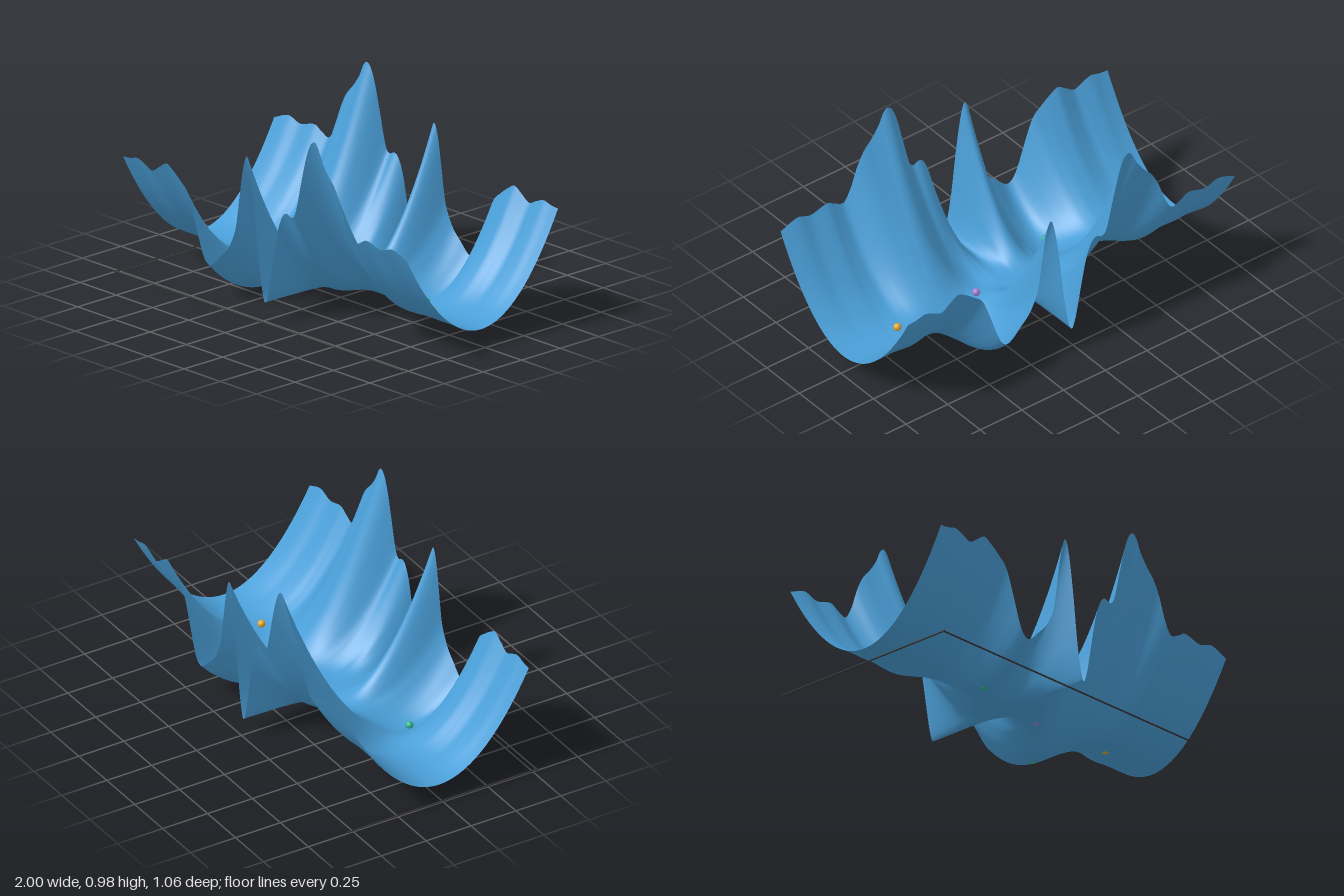
import * as THREE from 'three';

const DEPTH = 0.49, LENGTH = 0.98, BASE = 0.09;

// Height of the front edge at stations along x
const EDGE = [
  [-0.98, 0.575], [-0.93, 0.58], [-0.88, 0.592], [-0.83, 0.575], [-0.78, 0.555], [-0.73, 0.585],
  [-0.68, 0.615], [-0.64, 0.595], [-0.58, 0.55], [-0.53, 0.5], [-0.48, 0.37], [-0.45, 0.28],
  [-0.42, 0.21], [-0.385, 0.182], [-0.35, 0.2], [-0.31, 0.24], [-0.26, 0.29], [-0.23, 0.34],
  [-0.2, 0.42], [-0.175, 0.58], [-0.15, 0.73], [-0.123, 0.79], [-0.1, 0.72], [-0.07, 0.52],
  [-0.045, 0.3], [-0.02, 0.15], [0, 0.09], [0.02, 0.13], [0.04, 0.225], [0.065, 0.36],
  [0.09, 0.475], [0.12, 0.55], [0.15, 0.572], [0.185, 0.56], [0.21, 0.59], [0.25, 0.75],
  [0.28, 0.87], [0.31, 0.95], [0.34, 0.977], [0.365, 0.955], [0.39, 0.9], [0.435, 0.835],
  [0.48, 0.785], [0.52, 0.71], [0.56, 0.6], [0.6, 0.535], [0.65, 0.55], [0.7, 0.575],
  [0.8, 0.553], [0.88, 0.575], [0.98, 0.54],
];

// Smooth cubic interpolation of the edge heights
function edgeHeight(x) {
  const n = EDGE.length;
  let i = 0;
  while (i < n - 2 && x > EDGE[i + 1][0]) i++;
  const slope = (k) => {
    const a = EDGE[Math.max(k - 1, 0)], b = EDGE[Math.min(k + 1, n - 1)];
    return (b[1] - a[1]) / (b[0] - a[0]);
  };
  const [x0, y0] = EDGE[i], [x1, y1] = EDGE[i + 1];
  const h = x1 - x0, t = (x - x0) / h, t2 = t * t, t3 = t2 * t;
  return (2 * t3 - 3 * t2 + 1) * y0 + (t3 - 2 * t2 + t) * h * slope(i)
    + (3 * t2 - 2 * t3) * y1 + (t3 - t2) * h * slope(i + 1);
}

// Each cross-section is a parabola through both edges and the level centre line;
// the back edge is the front edge turned half way round.
function surfaceHeight(x, z) {
  const front = edgeHeight(x) - BASE, back = edgeHeight(-x) - BASE;
  const u = z / DEPTH;
  return BASE + (front + back) / 2 * u * u + (front - back) / 2 * u;
}

function addMesh(group, name, geometry, color, x = 0, y = 0, z = 0) {
  const material = new THREE.MeshStandardMaterial({ color });
  const mesh = new THREE.Mesh(geometry, material);
  mesh.name = name;
  mesh.position.set(x, y, z);
  group.add(mesh);
  return mesh;
}

export function createModel() {
  const model = new THREE.Group();
  model.name = 'surfacePlot';

  // Curved sheet
  const sheet = new THREE.PlaneGeometry(2 * LENGTH, 2 * DEPTH, 240, 60);
  sheet.rotateX(-Math.PI / 2);
  const p = sheet.attributes.position;
  for (let i = 0; i < p.count; i++) p.setY(i, surfaceHeight(p.getX(i), p.getZ(i)));
  sheet.computeVertexNormals();
  addMesh(model, 'curvedSheet', sheet, 0x4a9fd8).material.side = THREE.DoubleSide;

  // Marker balls resting on the sheet
  const ball = new THREE.SphereGeometry(0.019, 24, 16);
  const markers = [
    ['rightValleyMarker', 0x2fb58c, -0.378, 0.2],
    ['leftValleyMarker', 0x2fb58c, 0.378, -0.2],
    ['saddleMarker', 0xa07fd0, 0.19, 0],
    ['sideMarker', 0xe0a42c, 0.65, 0.016],
  ];
  for (const [name, color, x, z] of markers) {
    addMesh(model, name, ball, color, x, surfaceHeight(x, z) + 0.013, z);
  }

  // Two axis rods on the ground
  const rod = (length) => new THREE.CylinderGeometry(0.004, 0.004, length, 12);
  addMesh(model, 'lengthAxis', rod(2), 0x333333, 0, 0.005, 0.523).rotation.z = Math.PI / 2;
  addMesh(model, 'depthAxis', rod(1.06), 0x333333, -0.996, 0.005, 0).rotation.x = Math.PI / 2;

  return model;
}
